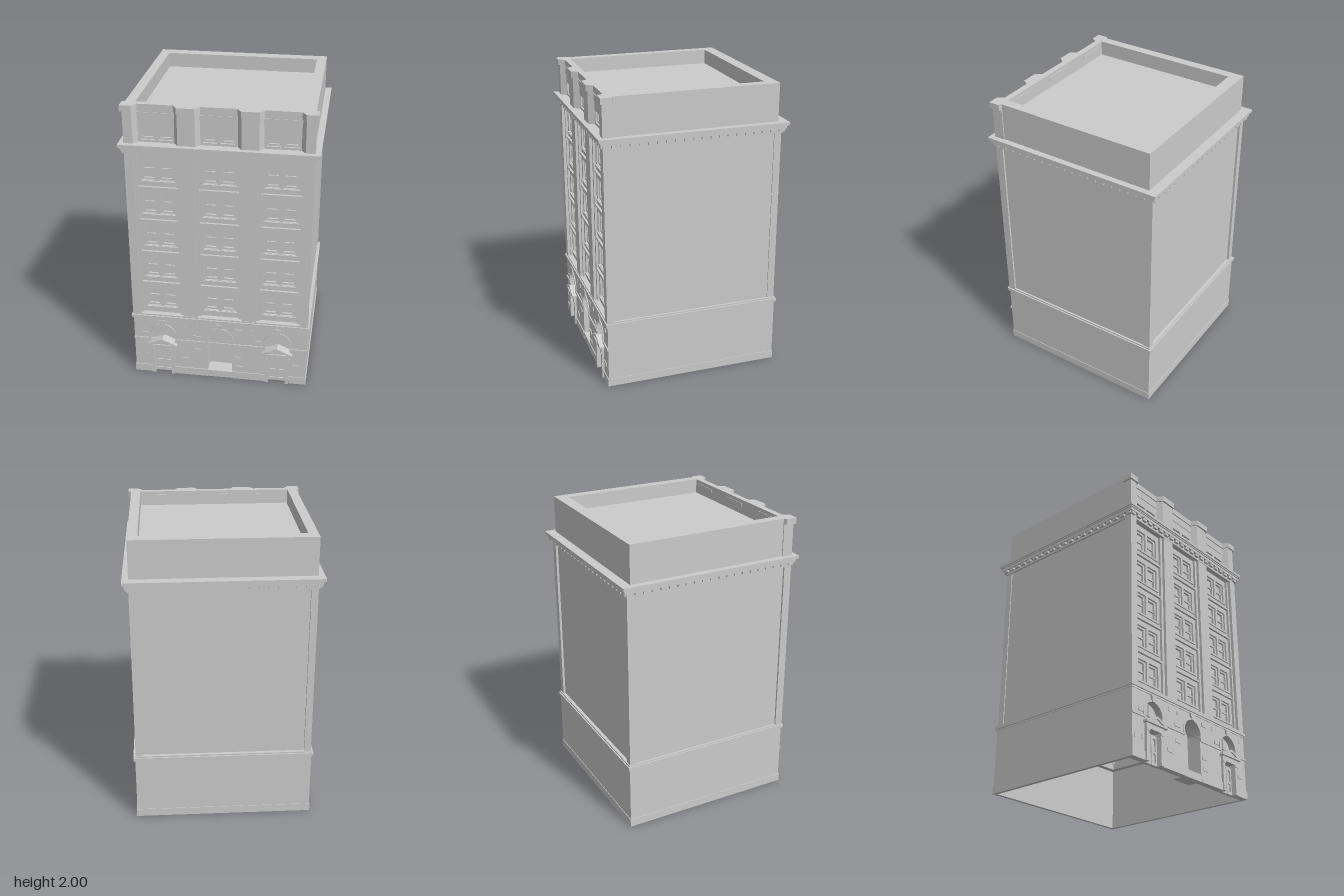
import * as THREE from 'three';

export function createModel() {
  const model = new THREE.Group();
  const mat = new THREE.MeshStandardMaterial({ color: 0xcccccc, side: THREE.DoubleSide });
  const bays = [-0.4, 0, 0.4];

  function add(name, geo, parent = model) {
    const m = new THREE.Mesh(geo, mat);
    m.name = name;
    parent.add(m);
    return m;
  }
  // Box from its limits
  function box(name, x0, x1, y0, y1, z0, z1, parent) {
    const g = new THREE.BoxGeometry(x1 - x0, y1 - y0, z1 - z0);
    g.translate((x0 + x1) / 2, (y0 + y1) / 2, (z0 + z1) / 2);
    return add(name, g, parent);
  }
  // Upright shape pushed from z0 to z1
  function panel(name, shape, z0, z1, parent) {
    const g = new THREE.ExtrudeGeometry(shape, { depth: z1 - z0, bevelEnabled: false, curveSegments: 16 });
    return add(name, g.translate(0, 0, z0), parent);
  }
  const poly = (pts) => new THREE.Shape(pts.map(([x, y]) => new THREE.Vector2(x, y)));
  const rect = (x0, x1, y0, y1) => poly([[x0, y0], [x1, y0], [x1, y1], [x0, y1]]);
  // Floor plan of [x, z] points raised from y0 to y1
  function plan(name, pts, y0, y1, hole) {
    const flip = (p) => p.map(([x, z]) => [x, -z]);
    const shape = poly(flip(pts));
    if (hole) shape.holes.push(poly(flip(hole)));
    const g = new THREE.ExtrudeGeometry(shape, { depth: y1 - y0, bevelEnabled: false });
    return add(name, g.rotateX(-Math.PI / 2).translate(0, y0, 0));
  }
  const square = (h) => [[-h, -h], [h, -h], [h, h], [-h, h]];
  const ring = (name, h, y0, y1) => plan(name, square(h), y0, y1, square(0.54));
  function arch(c, r, y0, spring = 0.31) {
    const s = new THREE.Shape();
    s.moveTo(c - r, y0).lineTo(c - r, spring);
    s.absarc(c, spring, r, Math.PI, 0, true);
    s.lineTo(c + r, y0).closePath();
    return s;
  }

  // Ground floor: open-bottomed shell with three arched openings in front
  for (const s of [-1, 1]) {
    const a = s * 0.6, b = s * 0.58;
    box('baseSideWall', Math.min(a, b), Math.max(a, b), 0, 0.445, -0.6, 0.56);
    box('basePlinthSide', Math.min(a, s * 0.604), Math.max(a, s * 0.604), 0, 0.055, -0.6, 0.604);
  }
  box('baseBackWall', -0.58, 0.58, 0, 0.445, -0.6, -0.58);
  box('basePlinthBack', -0.604, 0.604, 0, 0.055, -0.604, -0.6);
  const front = new THREE.Shape();
  front.moveTo(-0.6, 0);
  for (const c of bays) {
    front.lineTo(c - 0.085, 0).lineTo(c - 0.085, 0.31);
    front.absarc(c, 0.31, 0.085, Math.PI, 0, true);
    front.lineTo(c + 0.085, 0);
  }
  front.lineTo(0.6, 0).lineTo(0.6, 0.445).lineTo(-0.6, 0.445).closePath();
  panel('baseFrontWall', front, 0.56, 0.6);
  for (const [x0, x1] of [[-0.604, -0.485], [-0.315, -0.085], [0.085, 0.315], [0.485, 0.604]]) {
    box('basePlinthFront', x0, x1, 0, 0.055, 0.6, 0.606);
    box('stringCourse', x0, x1, 0.272, 0.287, 0.6, 0.608);
  }
  for (const c of bays) {
    const trim = arch(c, 0.098, 0.287);
    trim.holes.push(arch(c, 0.085, 0.2871));
    panel('archTrim', trim, 0.6, 0.607);
    panel('keystone', poly([[c - 0.014, 0.395], [c + 0.014, 0.395], [c + 0.022, 0.44], [c - 0.022, 0.44]]), 0.6, 0.612);
  }

  // Central niche with a step
  const niche = arch(0, 0.095, 0.045);
  niche.holes.push(arch(0, 0.085, 0.0451));
  panel('nicheLining', niche, 0.5, 0.56);
  panel('nicheBack', arch(0, 0.09, 0.045), 0.49, 0.5);
  box('nicheStep', -0.085, 0.085, 0, 0.05, 0.5, 0.603);

  // Side entrances: paired doors, pilasters and a pediment under a fanlight
  for (const c of [-0.4, 0.4]) {
    const e = new THREE.Group();
    e.name = 'entrance';
    e.position.x = c;
    model.add(e);
    panel('fanlight', arch(0, 0.085, 0.19), 0.55, 0.56, e);
    box('fanlightBar', -0.005, 0.005, 0.28, 0.39, 0.56, 0.568, e);
    for (const s of [-1, 1]) {
      const leaf = rect(s * 0.03 - 0.027, s * 0.03 + 0.027, 0, 0.19);
      leaf.holes.push(rect(s * 0.03 - 0.016, s * 0.03 + 0.016, 0.02, 0.075));
      const pane = arch(s * 0.03, 0.016, 0.09, 0.155);
      leaf.holes.push(pane);
      panel('doorLeaf', leaf, 0.568, 0.58, e);
      box('doorPilaster', s * 0.07 - 0.012, s * 0.07 + 0.012, 0, 0.205, 0.56, 0.615, e);
      box('pilasterCap', s * 0.07 - 0.016, s * 0.07 + 0.016, 0.19, 0.207, 0.56, 0.62, e);
    }
    box('doorBacking', -0.085, 0.085, 0, 0.2, 0.555, 0.569, e);
    box('entablature', -0.085, 0.085, 0.205, 0.24, 0.56, 0.618, e);
    panel('pediment', poly([[-0.1, 0.238], [0.1, 0.238], [0.1, 0.25], [0, 0.293], [-0.1, 0.25]]), 0.56, 0.625, e);
    const edge = poly([[-0.104, 0.238], [0.104, 0.238], [0.104, 0.252], [0, 0.297], [-0.104, 0.252]]);
    edge.holes.push(poly([[-0.07, 0.25], [0.07, 0.25], [0, 0.28]]));
    panel('pedimentMoulding', edge, 0.61, 0.634, e);
  }

  // Scattered raised stones: x, y, width
  const stones = [[-0.52, 0.317, 0.05], [-0.16, 0.317, 0.05], [0.13, 0.397, 0.05], [0.27, 0.317, 0.05],
    [-0.24, 0.127, 0.05], [-0.155, 0.21, 0.05], [0.125, 0.17, 0.05], [0.135, 0.095, 0.05], [0.53, 0.14, 0.05],
    [-0.58, 0.137, 0.01], [-0.515, 0.142, 0.01], [-0.24, 0.4, 0.01], [-0.155, 0.4, 0.01], [0.225, 0.4, 0.01], [0.545, 0.4, 0.01]];
  for (const [x, y, w] of stones) box('raisedStone', x - w / 2, x + w / 2, y - 0.013, y + 0.013, 0.6, 0.606);

  // Belt course above the ground floor
  ring('beltLower', 0.604, 0.44, 0.452);
  ring('beltCourse', 0.612, 0.452, 0.472);
  ring('beltTop', 0.603, 0.472, 0.482);

  // Shaft walls with corner pillars
  for (const s of [-1, 1]) {
    const span = (a, b) => [Math.min(s * a, s * b), Math.max(s * a, s * b)];
    box('shaftSideWall', ...span(0.57, 0.59), 0.48, 1.69, -0.56, 0.555);
    box('backCornerPillar', ...span(0.55, 0.596), 0.48, 1.69, -0.596, -0.548);
    box('frontCornerPillar', ...span(0.545, 0.603), 0.48, 1.69, 0.55, 0.603);
    box('cornerPillarReveal', ...span(0.53, 0.547), 0.48, 1.69, 0.54, 0.582);
    // Piers between the bays, stepped at the edges
    box('pierEdge', ...span(0.13, 0.27), 0.48, 1.69, 0.54, 0.582);
    box('pier', ...span(0.15, 0.25), 0.48, 1.69, 0.54, 0.6);
  }
  box('shaftBackWall', -0.57, 0.57, 0.48, 1.69, -0.58, -0.56);

  // Windowed bays: one recessed wall per bay, with double-sash windows
  const floors = [0, 1, 2, 3, 4].map((i) => [0.53 + 0.2375 * i, 0.677 + 0.2375 * i]);
  function windowUnit(x, y0, y1, tall) {
    const w = new THREE.Group();
    w.name = 'window';
    model.add(w);
    const frame = rect(x - 0.047, x + 0.047, y0, y1);
    frame.holes.push(rect(x - 0.034, x + 0.034, y0 + 0.013, y1 - 0.013));
    panel('windowFrame', frame, 0.535, 0.552, w);
    box('glass', x - 0.045, x + 0.045, y0, y1, 0.53, 0.537, w);
    if (tall) {
      const mid = (y0 + y1) / 2;
      box('sashRail', x - 0.036, x + 0.036, mid - 0.006, mid + 0.006, 0.535, 0.547, w);
    }
  }
  for (const c of bays) {
    const wall = rect(c - 0.135, c + 0.135, 0.48, 1.69);
    const attic = rect(c - 0.125, c + 0.125, 1.69, 1.96);
    for (const s of [-1, 1]) {
      const x = c + s * 0.057;
      for (const [y0, y1] of floors) {
        wall.holes.push(rect(x - 0.047, x + 0.047, y0, y1));
        windowUnit(x, y0, y1, true);
      }
      attic.holes.push(rect(x - 0.047, x + 0.047, 1.762, 1.84));
      windowUnit(x, 1.762, 1.84, false);
    }
    panel('bayWall', wall, 0.535, 0.565);
    panel('atticBayWall', attic, 0.53, 0.565);
    for (const [y0, y1] of floors) {
      box('windowSill', c - 0.115, c + 0.115, y0 - 0.014, y0 - 0.002, 0.565, 0.574);
      if (y1 < 1.6) box('floorMoulding', c - 0.13, c + 0.13, y1 + 0.037, y1 + 0.05, 0.565, 0.58);
    }
    box('atticPanel', c - 0.12, c + 0.12, 1.9, 1.945, 0.565, 0.569);
    box('parapetPanel', c - 0.1, c + 0.1, 1.95, 1.975, 0.526, 0.531);
  }

  // Cornice with dentils on all four sides
  ring('corniceBed', 0.602, 1.668, 1.7);
  ring('corniceSoffit', 0.622, 1.7, 1.722);
  ring('corniceTop', 0.637, 1.728, 1.746);
  ring('corniceFillet', 0.629, 1.72, 1.73);
  for (let side = 0; side < 4; side++) {
    const row = new THREE.Group();
    row.name = 'dentilRow';
    row.rotation.y = side * Math.PI / 2;
    model.add(row);
    for (let i = 0; i < 21; i++) {
      const x = -0.59 + i * 0.059;
      box('dentil', x - 0.018, x + 0.018, 1.682, 1.702, 0.6, 0.618, row);
    }
  }

  // Attic, parapet and sunken roof
  const rim = (z0, z1, e) => {
    const pts = [[-0.595, -0.572], [-0.595, 0.53], [-0.6 - e, 0.54], [-0.6 - e, z1], [-0.54, z1], [-0.513, z0],
      [-0.285, z0], [-0.26, z1], [-0.143, z1], [-0.116, z0]];
    return [...pts, ...pts.slice().reverse().map(([x, z]) => [-x, z])];
  };
  const well = [[-0.53, -0.49], [0.53, -0.49], [0.53, 0.53], [-0.53, 0.53]];
  plan('parapetCap', rim(0.572, 0.615, 0.015), 1.96, 2, well);
  plan('atticWall', [[-0.595, -0.572], [0.595, -0.572], [0.595, 0.54], [0.53, 0.54], [0.53, -0.49],
    [-0.53, -0.49], [-0.53, 0.54], [-0.595, 0.54]], 1.74, 1.96);
  for (const s of [-1, 1]) {
    plan('atticPier', [[s * 0.115, 0.53], [s * 0.118, 0.565], [s * 0.145, 0.603], [s * 0.257, 0.603], [s * 0.283, 0.565], [s * 0.285, 0.53]], 1.74, 1.96);
    plan('atticCornerPier', [[s * 0.515, 0.53], [s * 0.515, 0.565], [s * 0.542, 0.603], [s * 0.602, 0.603], [s * 0.602, 0.53]], 1.74, 1.96);
  }
  box('roof', -0.535, 0.535, 1.885, 1.9, -0.495, 0.535);

  return model;
}
